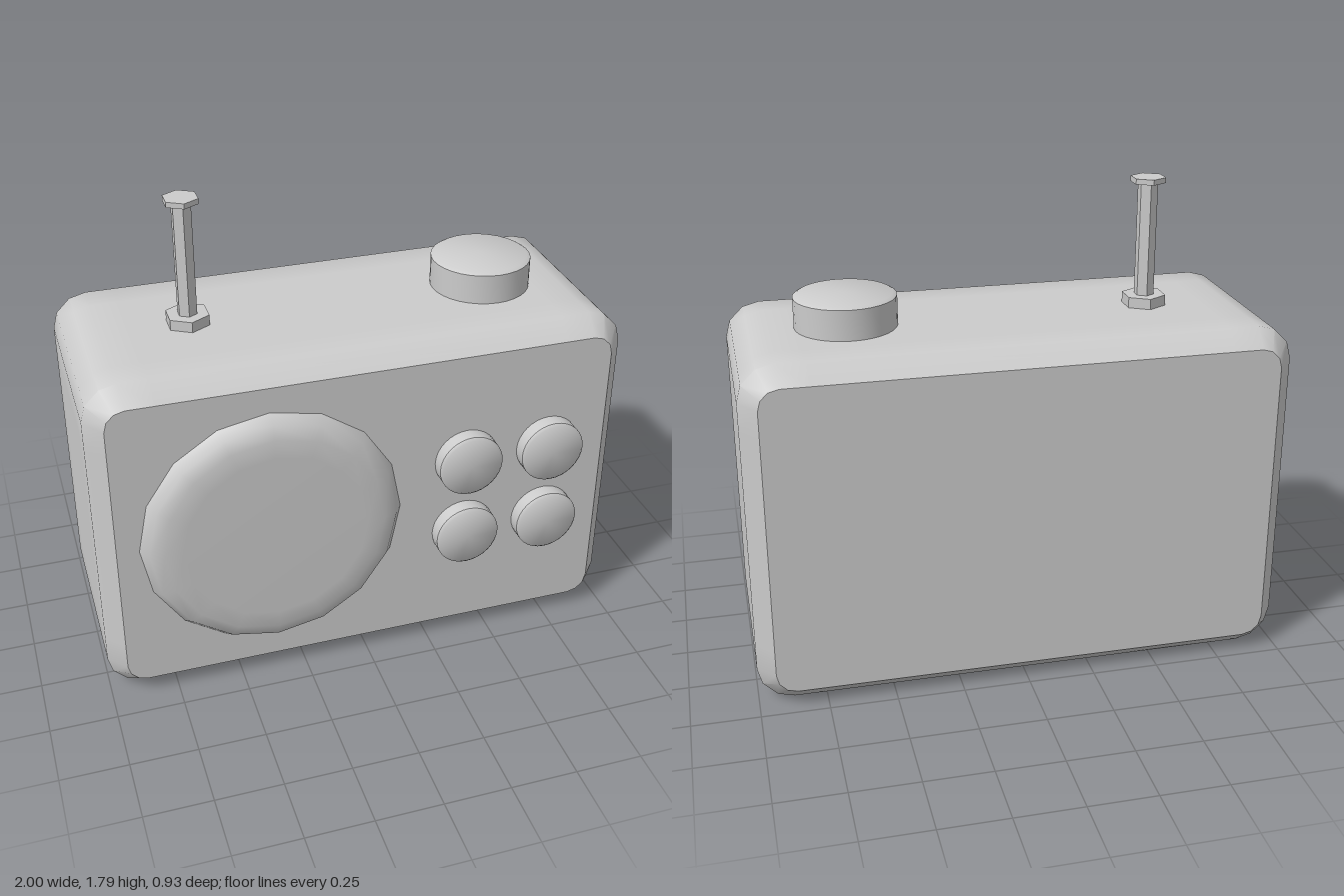
import * as THREE from 'three';
import { toCreasedNormals } from 'three/addons/utils/BufferGeometryUtils.js';

const grey = new THREE.MeshStandardMaterial({ color: 0xcccccc });
const faceted = new THREE.MeshStandardMaterial({ color: 0xcccccc, flatShading: true });

function part(name, geometry, material, x, y, z) {
  const mesh = new THREE.Mesh(geometry, material);
  mesh.name = name;
  mesh.position.set(x, y, z);
  return mesh;
}

// Rounded rectangle with support points next to the corners, to keep the shading on the flats even
function roundedRect(w, h, r, support) {
  const shape = new THREE.Shape();
  const x = w / 2 - r, y = h / 2 - r;
  const corners = [[x, y], [-x, y], [-x, -y], [x, -y]];
  corners.forEach(([cx, cy], i) => {
    const a = i * Math.PI / 2, c = Math.cos(a), s = Math.sin(a);
    const at = (u, v) => [cx + u * c - v * s, cy + u * s + v * c];
    shape[i ? 'lineTo' : 'moveTo'](...at(r, -support));
    shape.lineTo(...at(r, 0));
    for (let k = 1; k <= 3; k++) {
      const t = k * Math.PI / 6;
      shape.lineTo(...at(r * Math.cos(t), r * Math.sin(t)));
    }
    shape.lineTo(...at(-support, r));
  });
  return shape;
}

// Turned button with a shallow bevelled cap and a crisp rim
function capGeometry(r, h) {
  const profile = [[r, 0], [r, h - 0.012], [r * 0.92, h - 0.003], [0, h]]
    .map(([a, b]) => new THREE.Vector2(a, b));
  return toCreasedNormals(new THREE.LatheGeometry(profile, 32), 0.75);
}

export function createModel() {
  const model = new THREE.Group();
  model.name = 'radio';

  // Case with chamfered front and back edges
  const bevel = 0.065, chamfer = 0.075, back = -0.465, front = 0.4, height = 1.305;
  const caseGeometry = new THREE.ExtrudeGeometry(
    roundedRect(2 - 2 * bevel, height - 2 * bevel, 0.075, 0.1), {
      depth: front - back - 2 * chamfer, steps: 6, bevelEnabled: true,
      bevelSegments: 1, bevelSize: bevel, bevelThickness: chamfer,
    });
  model.add(part('case', toCreasedNormals(caseGeometry, 0.8), grey,
    0, height / 2, back + chamfer));

  // Sixteen-sided speaker cover with a rounded rim
  const rim = [[0.49, -0.01], [0.488, 0.003], [0.46, 0.042], [0.41, 0.06], [0.34, 0.065], [0, 0.065]]
    .map(([a, b]) => new THREE.Vector2(a, b));
  const speaker = new THREE.LatheGeometry(rim, 16).rotateX(Math.PI / 2);
  model.add(part('speaker', speaker, grey, -0.365, 0.655, front));

  // Four front buttons
  const button = capGeometry(0.123, 0.065).rotateX(Math.PI / 2);
  for (const y of [0.495, 0.81])
    for (const x of [0.38, 0.705])
      model.add(part('button', button, grey, x, y, front));

  // Dial on top
  model.add(part('topKnob', capGeometry(0.188, 0.125), grey, 0.58, height, -0.035));

  // Hexagonal antenna: foot, rod and tip
  const antenna = new THREE.Group();
  antenna.name = 'antenna';
  antenna.position.set(-0.55, 0, -0.035);
  for (const [name, r, y0, y1] of [
    ['antennaFoot', 0.083, 1.3, 1.345],
    ['antennaRod', 0.0375, 1.34, 1.775],
    ['antennaTip', 0.066, 1.77, 1.79],
  ]) {
    antenna.add(part(name, new THREE.CylinderGeometry(r, r, y1 - y0, 6), faceted,
      0, (y0 + y1) / 2, 0));
  }
  model.add(antenna);
  return model;
}
